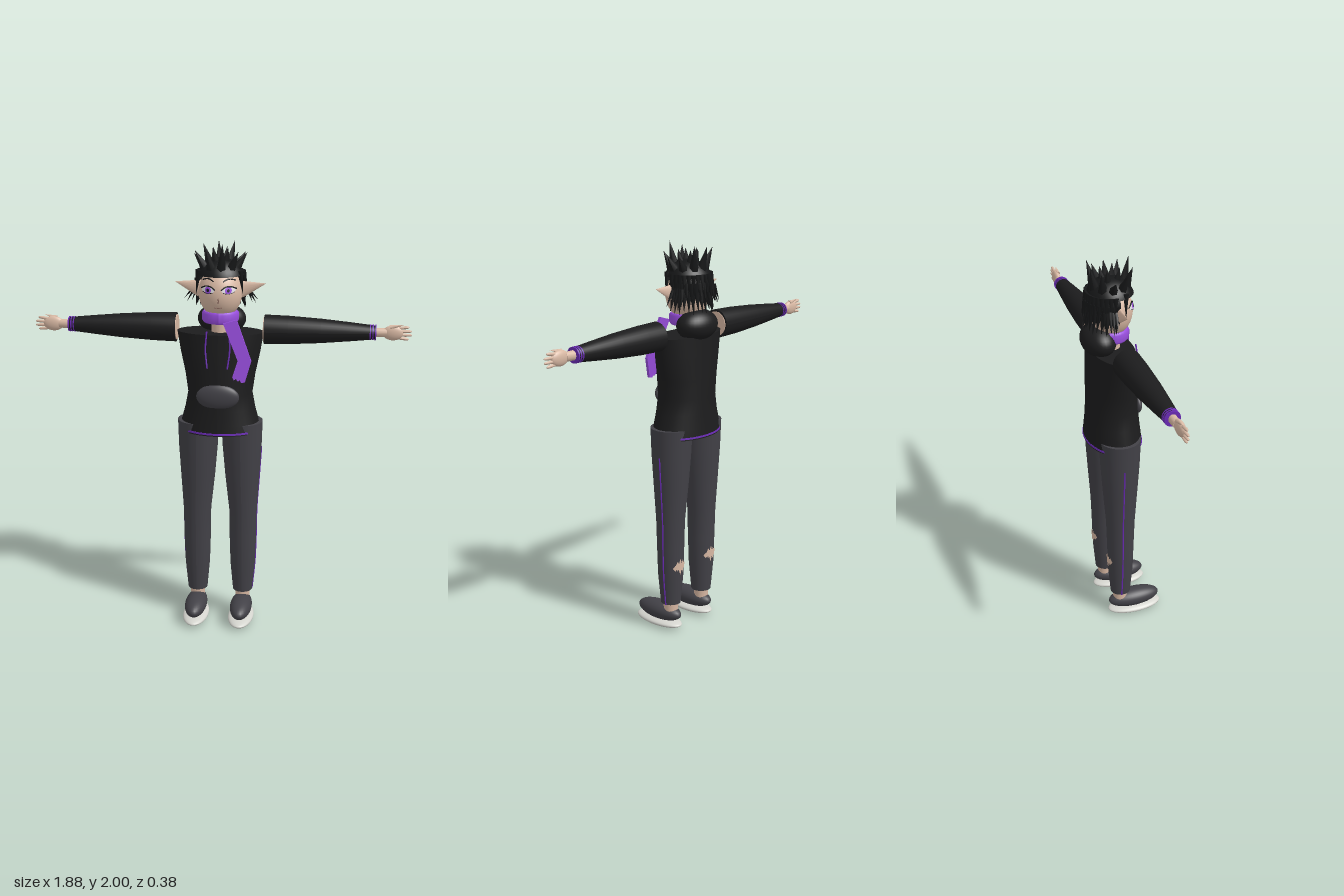
import * as THREE from 'three';

const mat = (name, color) => Object.assign(new THREE.MeshStandardMaterial({ color }), { name });
const V = (x, y, z) => new THREE.Vector3(x, y, z);
const CZ = -0.04; // depth of the body's middle

export function createModel() {
  const root = new THREE.Group();
  const skin = mat('skin', 0xd9b9a4), cloth = mat('black cloth', 0x1c1c1d), hair = mat('hair black', 0x161718);
  const denim = mat('charcoal', 0x424147), purple = mat('purple', 0x9a4fe0), trim = mat('dark purple', 0x6a2bb5);
  const sole = mat('sole grey', 0xd4d4ce), white = mat('eye white', 0xf0ecf2), lip = mat('lip', 0x8d6a60);
  const patchSkin = skin.clone();
  patchSkin.side = THREE.DoubleSide;

  const add = (parent, name, geo, material) => {
    const m = new THREE.Mesh(geo, material);
    m.name = name;
    parent.add(m);
    return m;
  };
  // Closed tube of elliptical rings: [height, rx, rz, cx, cz], from bottom to top
  const loft = (rings, seg = 28, open = false) => {
    const n = rings.length - 1, g = new THREE.CylinderGeometry(1, 1, 1, seg, n, open), p = g.attributes.position;
    for (let i = 0; i < p.count; i++) {
      const [y, rx, rz, cx = 0, cz = 0] = rings[Math.round((p.getY(i) + 0.5) * n)];
      p.setXYZ(i, p.getX(i) * rx + cx, y, p.getZ(i) * rz + cz);
    }
    g.computeVertexNormals();
    return g;
  };
  const ball = (x, y, z, rx, ry, rz, ...arc) =>
    new THREE.SphereGeometry(1, 32, 20, ...arc).scale(rx, ry, rz).translate(x, y, z);
  const spike = (a, b, r, seg = 6) => {
    const d = b.clone().sub(a), g = new THREE.ConeGeometry(r, d.length(), seg);
    g.applyQuaternion(new THREE.Quaternion().setFromUnitVectors(V(0, 1, 0), d.clone().normalize()));
    return g.translate((a.x + b.x) / 2, (a.y + b.y) / 2, (a.z + b.z) / 2);
  };
  const tube = (pts, r, seg = 14) => new THREE.TubeGeometry(new THREE.CatmullRomCurve3(pts), seg, r, 6);

  // Hoodie body with hem trim
  add(root, 'torso', loft([
    [1.04, 0.205, 0.14, 0, -0.035], [1.09, 0.197, 0.136, 0, -0.036], [1.16, 0.178, 0.13, 0, -0.037],
    [1.24, 0.163, 0.127, 0, -0.038], [1.34, 0.177, 0.122, 0, -0.04], [1.45, 0.2, 0.115, 0, -0.041],
    [1.55, 0.217, 0.108, 0, -0.043]], 40), cloth);
  add(root, 'hemTrim', loft([[1.046, 0.207, 0.142, 0, -0.035], [1.055, 0.206, 0.141, 0, -0.035]], 40), trim);
  add(root, 'pocket', ball(0, 1.24, 0.075, 0.108, 0.065, 0.03), denim);
  add(root, 'hood', ball(0, 1.6, -0.105, 0.122, 0.078, 0.085), cloth);
  for (const s of [-1, 1])
    add(root, 'drawstring', tube([V(s * 0.055, 1.57, 0.068), V(s * 0.06, 1.48, 0.08), V(s * 0.05, 1.39, 0.096)], 0.004), trim);

  // Neck and scarf
  add(root, 'neck', loft([[1.53, 0.045, 0.045, 0, CZ], [1.65, 0.045, 0.045, 0, CZ]]), skin);
  add(root, 'scarfRing', loft([
    [1.598, 0.083, 0.078, 0, CZ], [1.61, 0.092, 0.087, 0, CZ], [1.645, 0.092, 0.087, 0, CZ], [1.655, 0.083, 0.078, 0, CZ]]), purple);
  const tailPts = [[0.026, 1.61], [0.1, 1.432], [0.075, 1.35], [0.083, 1.335], [0.094, 1.343], [0.102, 1.33],
    [0.112, 1.337], [0.12, 1.324], [0.138, 1.327], [0.167, 1.43], [0.092, 1.63]];
  const tail = new THREE.ExtrudeGeometry(new THREE.Shape(tailPts.map(([x, y]) => new THREE.Vector2(x, y))),
    { depth: 0.015, bevelEnabled: false });
  const tp = tail.attributes.position;
  for (let i = 0; i < tp.count; i++) tp.setZ(i, tp.getZ(i) + 0.05 + (1.63 - tp.getY(i)) * 0.12);
  tail.computeVertexNormals();
  add(root, 'scarfTail', tail, purple);

  // Arms, built along +x and turned around for the other side
  const along = (rings, seg) => loft(rings, seg).rotateZ(-Math.PI / 2);
  for (const s of [1, -1]) {
    const arm = new THREE.Group();
    arm.name = s > 0 ? 'leftArm' : 'rightArm';
    arm.position.set(0, 1.564, CZ);
    if (s < 0) arm.rotation.y = Math.PI;
    root.add(arm);
    add(arm, 'sleeve', along([[0.22, 0.073, 0.072], [0.34, 0.07, 0.069], [0.5, 0.06, 0.06], [0.64, 0.047, 0.048], [0.765, 0.034, 0.036]]), cloth);
    add(arm, 'shoulderEnd', along([[0.216, 0.063, 0.063], [0.23, 0.063, 0.063]]), skin);
    for (const x of [0.74, 0.753, 0.766])
      add(arm, 'cuffBand', along([[x - 0.003, 0.0385, 0.04], [x + 0.003, 0.0375, 0.039]]), trim);
    add(arm, 'wrist', along([[0.75, 0.024, 0.022], [0.82, 0.022, 0.018]], 16), skin);
    add(arm, 'palm', ball(0.85, 0, 0, 0.052, 0.037, 0.019), skin);
    for (let i = 0; i < 4; i++) {
      const y = (i - 1.5) * 0.017, len = i === 0 || i === 3 ? 0.928 : 0.942;
      add(arm, 'finger', along([[0.87, 0.008, 0.008, -y * 0.9], [0.91, 0.008, 0.008, -y * 1.1], [len - 0.006, 0.006, 0.006, -y * 1.15],
        [len, 0.002, 0.002, -y * 1.15]], 8), skin);
    }
    add(arm, 'thumb', spike(V(0.835, 0.028, 0.005), V(0.9, 0.043, 0.012), 0.012, 8), skin);
  }

  // Legs with side stripe, torn patch and shoes
  const legRings = [[0.145, 0.051, 0.052, 0.12], [0.3, 0.065, 0.066, 0.12], [0.45, 0.07, 0.07, 0.12], [0.6, 0.072, 0.075, 0.12],
    [0.8, 0.089, 0.09, 0.115], [0.95, 0.1, 0.1, 0.113], [1.09, 0.106, 0.106, 0.111]];
  for (const s of [1, -1]) {
    const leg = new THREE.Group();
    leg.name = s > 0 ? 'leftLeg' : 'rightLeg';
    root.add(leg);
    add(leg, 'trouserLeg', loft(legRings.map(([y, rx, rz, cx]) => [y, rx, rz, s * cx, -0.035])), denim);
    add(leg, 'sideStripe', tube(legRings.slice(0, 6).map(([y, rx, , cx]) => V(s * (cx + rx - 0.001), y, -0.045)), 0.004, 30), trim);
    // Torn patch: narrow diamonds wrapped on the calf
    for (const [t0, y0, w, h] of [[-0.4, 0.365, 0.2, 0.022], [-0.18, 0.36, 0.2, 0.035], [0.06, 0.36, 0.22, 0.045], [0.3, 0.365, 0.2, 0.028], [0.5, 0.355, 0.18, 0.016]]) {
      const g = new THREE.CircleGeometry(1, 4), p = g.attributes.position;
      for (let i = 0; i < p.count; i++) {
        const t = t0 + p.getX(i) * w, y = y0 + p.getY(i) * h, r = 0.0715 + (y - 0.36) * 0.03;
        p.setXYZ(i, s * 0.12 + Math.sin(t) * r, y, -0.035 - Math.cos(t) * r);
      }
      g.computeVertexNormals();
      add(leg, 'tornPatch', g, patchSkin);
    }
    add(leg, 'ankle', loft([[0.1, 0.037, 0.037, s * 0.12, -0.036], [0.16, 0.04, 0.04, s * 0.12, -0.036]]), skin);
    add(leg, 'shoe', ball(s * 0.12, 0.079, 0.042, 0.057, 0.049, 0.141), denim);
    add(leg, 'shoeSole', ball(s * 0.12, 0.024, 0.045, 0.067, 0.024, 0.147), sole);
  }

  // Head and pointed ears
  const head = new THREE.Group();
  head.name = 'head';
  root.add(head);
  const HY = 1.745, RX = 0.108, RY = 0.127, RZ = 0.106;
  add(head, 'skull', ball(0, HY, CZ, RX, RY, RZ), skin);
  for (const s of [-1, 1]) {
    const ear = add(head, 'ear', new THREE.ConeGeometry(0.044, 0.13, 16).scale(1, 1, 0.4).rotateZ(-s * 1.33), skin);
    ear.position.set(s * 0.163, 1.778, CZ);
  }

  // Painted face, laid on the skull's curve
  const faceZ = (x, y) => CZ + RZ * Math.sqrt(Math.max(0, 1 - (x / RX) ** 2 - ((y - HY) / RY) ** 2));
  const disc = (name, cx, cy, rx, ry, lift, material) => {
    const g = new THREE.RingGeometry(0.001, 1, 24, 4), p = g.attributes.position;
    for (let i = 0; i < p.count; i++) {
      const x = cx + p.getX(i) * rx, y = cy + p.getY(i) * ry;
      p.setXYZ(i, x, y, faceZ(x, y) + lift);
    }
    g.computeVertexNormals();
    add(head, name, g, material);
  };
  const line = (name, pts, r, material) =>
    add(head, name, tube(pts.map(([x, y]) => V(x, y, faceZ(x, y) + 0.002)), r), material);
  for (const s of [-1, 1]) {
    disc('eyeWhite', s * 0.05, 1.772, 0.033, 0.016, 0.002, white);
    disc('iris', s * 0.05, 1.772, 0.016, 0.016, 0.004, purple);
    disc('pupil', s * 0.05, 1.772, 0.007, 0.008, 0.006, hair);
    line('upperLash', [[s * 0.015, 1.773], [s * 0.035, 1.788], [s * 0.06, 1.79], [s * 0.087, 1.777]], 0.0035, hair);
    line('lowerLash', [[s * 0.025, 1.761], [s * 0.05, 1.755], [s * 0.078, 1.763]], 0.0018, hair);
    line('eyebrow', [[s * 0.022, 1.813], [s * 0.05, 1.824], [s * 0.08, 1.815]], 0.0035, hair);
  }
  line('nose', [[0, 1.735], [0.003, 1.72], [0, 1.71]], 0.003, lip);
  line('mouth', [[-0.02, 1.687], [0, 1.684], [0.02, 1.687]], 0.0022, lip);

  // Hair: cap, back shell, layered strands, side tufts and a crown of spikes
  const hairMass = new THREE.Group();
  hairMass.name = 'hair';
  root.add(hairMass);
  const HZ = -0.045, hairY = 1.8;
  add(hairMass, 'hairCap', ball(0, hairY, HZ, 0.124, 0.115, 0.12, 0, Math.PI * 2, 0, 1.25), hair);
  const shell = hair.clone();
  shell.side = THREE.DoubleSide;
  add(hairMass, 'hairBack', ball(0, hairY, HZ, 0.124, 0.115, 0.12, Math.PI - 0.1, Math.PI + 0.2, 1.2, 1.25), shell);
  [[1.85, 1.77, 0.118], [1.81, 1.725, 0.122], [1.765, 1.675, 0.114]].forEach(([y0, y1, r], row) => {
    for (let i = 0; i <= 16; i++) {
      const t = Math.PI * (i + (row % 2) * 0.5) / 16.5, c = Math.cos(t), n = Math.sin(t), o = r + 0.012;
      add(hairMass, 'backStrand', spike(V(c * (r - 0.008), y0, HZ - n * (r - 0.01)),
        V(c * o, y1 - (i % 3) * 0.008, HZ - n * o), 0.016, 5), hair);
    }
  });
  for (const s of [-1, 1]) {
    for (let i = 0; i < 5; i++) {
      const z = -0.055 - i * 0.014, x = 0.185 - i * 0.011, y = 1.705 - (i % 2) * 0.02;
      add(hairMass, 'sideTuft', spike(V(s * 0.115, 1.785, z), V(s * x, y, z - 0.015), 0.012, 5), hair);
    }
    add(hairMass, 'templeLock', spike(V(s * 0.1, 1.86, 0), V(s * 0.116, 1.74, -0.005), 0.014, 6), hair);
  }
  for (let i = 0; i < 10; i++) {
    const t = (i + 0.25) / 10 * Math.PI * 2, c = Math.cos(t), n = Math.sin(t), tip = 2 - 0.055 * c * c - (i % 2) * 0.015;
    add(hairMass, 'crownSpike', spike(V(c * 0.078, 1.865, HZ + n * 0.075), V(c * 0.135, tip, HZ + n * 0.105), 0.027, 6), hair);
  }
  for (let i = 0; i < 4; i++) {
    const t = i * Math.PI / 2 + 0.6, c = Math.cos(t), n = Math.sin(t);
    add(hairMass, 'topSpike', spike(V(c * 0.035, 1.89, HZ + n * 0.035), V(c * 0.05, 1.965, HZ + n * 0.05), 0.022, 6), hair);
  }
  return root;
}
